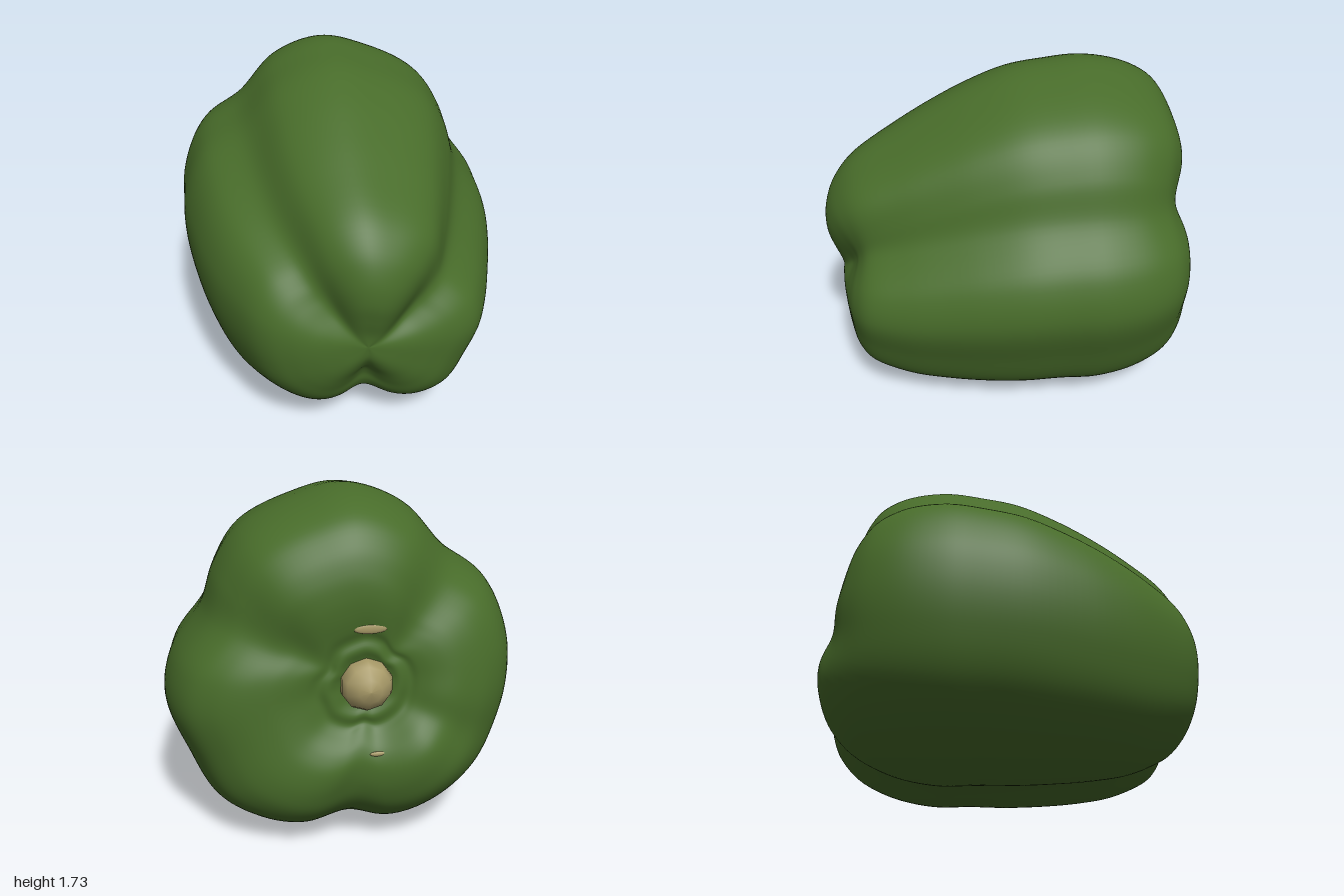
import * as THREE from 'three';
import { mergeVertices } from 'three/addons/utils/BufferGeometryUtils.js';

const green = new THREE.MeshStandardMaterial({ color: 0x486c2a });
green.name = 'pepperGreen';
const tan = new THREE.MeshStandardMaterial({ color: 0xa89a68 });
tan.name = 'stemTan';

// Widest cross-section, anticlockwise seen from the front
const CENTRE_Y = 0.87;
const outline = new THREE.CatmullRomCurve3([
  [0.88, 0.7], [0.84, 0.92], [0.69, 1.15], [0.62, 1.35], [0.48, 1.54], [0.2, 1.68], [-0.05, 1.735],
  [-0.33, 1.64], [-0.54, 1.43], [-0.75, 1.27], [-0.86, 1.03], [-0.88, 0.82], [-0.84, 0.58],
  [-0.74, 0.35], [-0.5, 0.13], [-0.22, 0.005], [0, 0.035], [0.25, 0.005], [0.5, 0.08], [0.67, 0.2], [0.79, 0.44],
].map(([x, y]) => new THREE.Vector3(x, y - CENTRE_Y, 0)), true);

// Stations from stem to tip: scale, z, crease depth, centre x, centre y, lobe weight (back < 0 < front)
const stations = [
  [0, -0.845, 0, -0.06, 0.88, 0], [0.12, -0.85, 0, -0.06, 0.88, 0], [0.19, -0.868, 0.03, -0.05, 0.88, -0.06],
  [0.25, -0.856, 0.06, -0.05, 0.88, -0.15], [0.31, -0.872, 0.09, -0.04, 0.88, -0.34], [0.4, -0.886, 0.1, -0.03, 0.88, -0.76],
  [0.5, -0.89, 0.1, -0.02, 0.88, -1], [0.62, -0.877, 0.09, 0, 0.87, -1], [0.75, -0.835, 0.07, 0, 0.87, -0.92],
  [0.875, -0.75, 0.05, 0, 0.87, -0.55], [0.96, -0.6, 0.02, 0, 0.87, -0.15], [1, -0.4, 0.01, 0, 0.87, 0],
  [0.99, -0.2, 0.015, 0, 0.865, 0], [0.975, 0, 0.03, 0, 0.848, 0], [0.93, 0.2, 0.05, 0, 0.815, 0],
  [0.865, 0.4, 0.07, 0, 0.775, 0], [0.78, 0.6, 0.1, 0.01, 0.737, 0.1], [0.66, 0.8, 0.14, 0.03, 0.71, 0.45],
  [0.545, 0.895, 0.16, 0.03, 0.685, 0.8], [0.42, 0.938, 0.15, 0.03, 0.665, 1], [0.3, 0.953, 0.11, 0.03, 0.645, 0.9],
  [0.19, 0.95, 0.06, 0.03, 0.63, 0.5], [0.09, 0.941, 0.02, 0.03, 0.62, 0.12], [0, 0.938, 0, 0.03, 0.62, 0],
];
const meridian = new THREE.CatmullRomCurve3(stations.map(s => new THREE.Vector3(s[0], s[1], s[2])), false, 'catmullrom');
const spine = new THREE.CatmullRomCurve3(stations.map(s => new THREE.Vector3(s[3], s[4], s[5])), false, 'catmullrom');

// Smooth bump around an angle in degrees
function bump(angle, centre, width) {
  const d = ((angle - centre + 540) % 360 + 360) % 360 - 180;
  return Math.exp(-((d / width) ** 2));
}

// The three valleys between the lobes
function valleys(angle, spread) {
  return bump(angle, 30, 17 * spread) + 0.9 * bump(angle, 135, 17 * spread) + bump(angle, 270, 18 * spread);
}

// Point on the skin: u goes around, v from stem to tip
function skinPoint(u, v) {
  const rim = outline.getPoint(u % 1);
  const a = THREE.MathUtils.radToDeg(Math.atan2(rim.y, rim.x));
  const m = meridian.getPoint(v), c = spine.getPoint(v);
  const front = 0.055 * bump(a, 85, 42) + 0.01 * bump(a, 195, 40) - 0.03 * bump(a, -10, 45)
    - 0.04 * bump(a, 270, 60) - 0.085 * valleys(a, 1.35);
  const back = 0.115 * bump(a, 230, 42) + 0.08 * bump(a, 283, 28) + 0.02 * bump(a, -45, 30)
    - 0.035 * bump(a, 206, 13) - 0.05 * valleys(a, 1.1);
  const r = Math.max(m.x, 0) * (1 - m.z * valleys(a, 1));
  return new THREE.Vector3(c.x + rim.x * r, c.y + rim.y * r, m.y + c.z * (c.z > 0 ? front : back));
}

function makeSkin() {
  const around = 168, along = 115, positions = [], index = [];
  for (let i = 0; i <= along; i++) {
    for (let j = 0; j < around; j++) positions.push(...skinPoint(j / around, i / along).toArray());
  }
  for (let i = 0; i < along; i++) {
    for (let j = 0; j < around; j++) {
      const k = (j + 1) % around;
      const a = i * around + j, b = i * around + k, c = b + around, d = a + around;
      // One triangle per step at the two poles, two elsewhere
      if (i > 0) index.push(a, b, c);
      if (i < along - 1) index.push(a, c, d);
    }
  }
  let g = new THREE.BufferGeometry();
  g.setAttribute('position', new THREE.Float32BufferAttribute(positions, 3));
  g.setIndex(index);
  g = mergeVertices(g, 1e-5);
  g.computeVertexNormals();
  return g;
}

export function createModel() {
  const pepper = new THREE.Group();
  pepper.name = 'bellPepper';

  const skin = new THREE.Mesh(makeSkin(), green);
  skin.name = 'skin';
  pepper.add(skin);

  // Cut stem stub, pointing backwards
  const stemProfile = [[0.126, 0], [0.124, 0.09], [0.105, 0.127], [0.055, 0.168], [0, 0.178]]
    .map(([r, h]) => new THREE.Vector2(r, h));
  const stem = new THREE.Mesh(new THREE.LatheGeometry(stemProfile, 10), tan);
  stem.name = 'stem';
  stem.rotation.x = -Math.PI / 2;
  stem.position.set(-0.06, 0.875, -0.795);
  pepper.add(stem);

  // Dry flecks on the rim of the stem hollow, above and below: u, v, half width, half height
  for (const [u, v, w, h] of [[6.2 / 21, 4 / 23, 0.08, 0.024], [15.1 / 21, 5 / 23, 0.04, 0.012]]) {
    const fleck = new THREE.Mesh(new THREE.SphereGeometry(1, 12, 8), tan);
    fleck.name = 'calyxFleck';
    fleck.scale.set(w, h, 0.008);
    fleck.position.copy(skinPoint(u, v));
    pepper.add(fleck);
  }
  return pepper;
}
